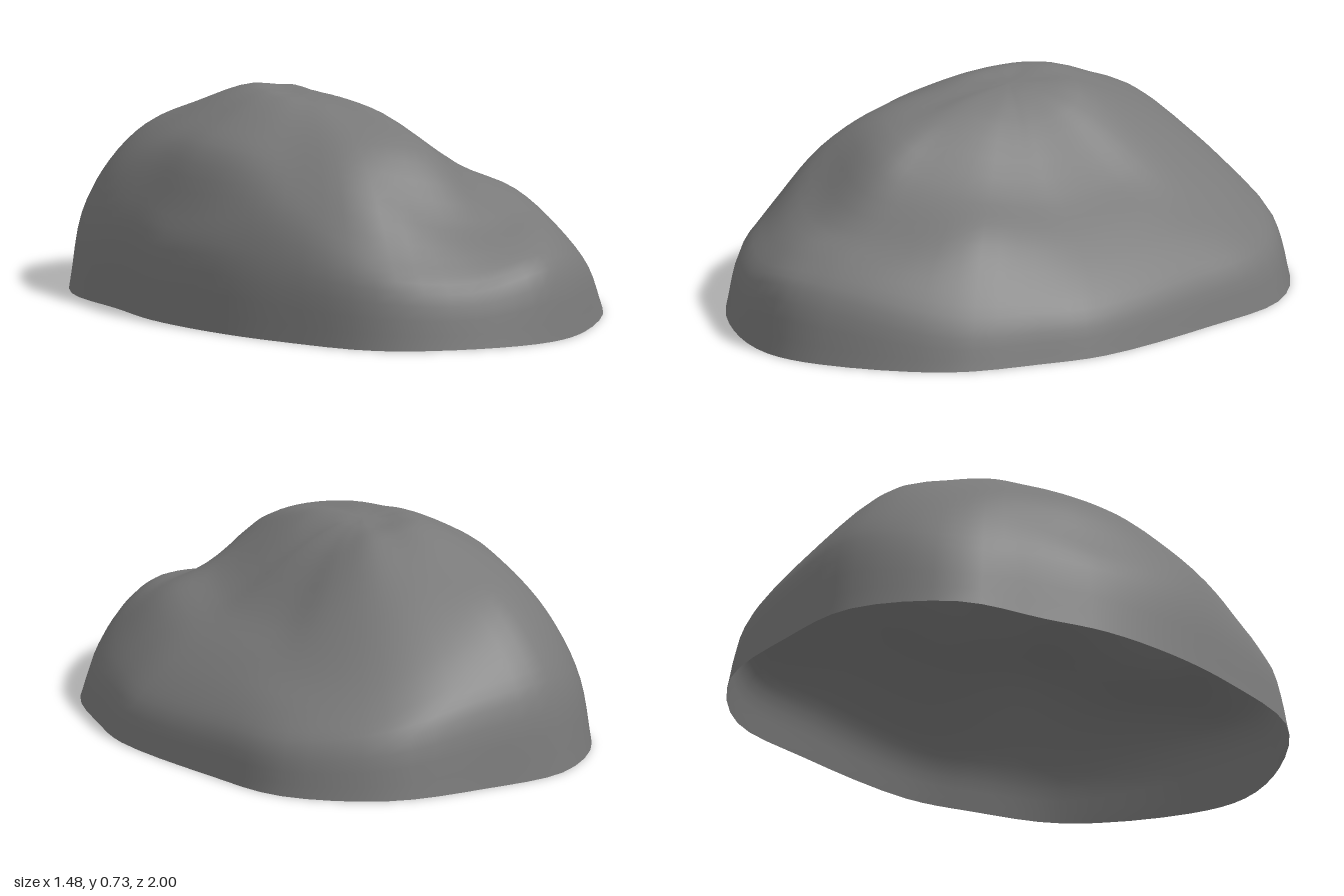
import * as THREE from 'three';

// Radial fractions from the crown (0) to the rim (1)
const FRACTIONS = [0.25, 0.5, 0.7, 0.85, 0.95, 1];
const CROWN = new THREE.Vector3(-0.1, 0.72, -0.1);

// One spoke per row: rim x, rim z, then heights at the fractions before the rim
const SPOKES = [
  [0.735, 0.05, 0.63, 0.45, 0.34, 0.235, 0.135],
  [0.70, 0.28, 0.63, 0.46, 0.365, 0.25, 0.14],
  [0.605, 0.60, 0.65, 0.49, 0.41, 0.28, 0.15],
  [0.30, 0.91, 0.68, 0.54, 0.385, 0.33, 0.23],
  [0.10, 0.995, 0.69, 0.59, 0.38, 0.315, 0.24],
  [-0.17, 0.955, 0.69, 0.62, 0.41, 0.29, 0.19],
  [-0.47, 0.78, 0.70, 0.635, 0.50, 0.33, 0.21],
  [-0.635, 0.44, 0.71, 0.64, 0.54, 0.42, 0.24],
  [-0.715, 0.16, 0.72, 0.65, 0.565, 0.41, 0.26],
  [-0.745, -0.13, 0.725, 0.655, 0.565, 0.39, 0.25],
  [-0.715, -0.36, 0.73, 0.655, 0.565, 0.41, 0.26],
  [-0.67, -0.68, 0.73, 0.645, 0.54, 0.40, 0.23],
  [-0.42, -0.95, 0.73, 0.645, 0.56, 0.43, 0.28],
  [-0.10, -1.00, 0.715, 0.62, 0.51, 0.39, 0.26],
  [0.26, -0.98, 0.70, 0.56, 0.42, 0.30, 0.20],
  [0.55, -0.76, 0.66, 0.49, 0.345, 0.25, 0.16],
  [0.655, -0.42, 0.64, 0.46, 0.35, 0.25, 0.15],
];

const RINGS = 28, SEGMENTS = 68;

function buildShell() {
  // Smooth each spoke from crown to rim, with an extra point that rounds the crown
  const spokes = SPOKES.map(([x, z, ...heights]) => {
    const point = (f, y) => new THREE.Vector3(
      THREE.MathUtils.lerp(CROWN.x, x, f), y, THREE.MathUtils.lerp(CROWN.z, z, f));
    return new THREE.CatmullRomCurve3([
      CROWN,
      point(0.1, THREE.MathUtils.lerp(CROWN.y, heights[0], 0.18)),
      ...FRACTIONS.map((f, i) => point(f, heights[i] ?? 0.008)),
    ]);
  });

  // Join the spokes with smooth closed rings
  const positions = [...CROWN.toArray()];
  for (let i = 1; i <= RINGS; i++) {
    const ring = new THREE.CatmullRomCurve3(spokes.map((s) => s.getPoint(i / RINGS)), true);
    for (let j = 0; j < SEGMENTS; j++) positions.push(...ring.getPoint(j / SEGMENTS).toArray());
  }

  // Fan at the crown, quads below it, open underside
  const index = [];
  const at = (i, j) => 1 + (i - 1) * SEGMENTS + (j % SEGMENTS);
  for (let j = 0; j < SEGMENTS; j++) {
    index.push(0, at(1, j + 1), at(1, j));
    for (let i = 1; i < RINGS; i++) {
      const a = at(i, j), b = at(i + 1, j), c = at(i + 1, j + 1), d = at(i, j + 1);
      index.push(a, c, b, a, d, c);
    }
  }

  const geometry = new THREE.BufferGeometry();
  geometry.setAttribute('position', new THREE.Float32BufferAttribute(positions, 3));
  geometry.setIndex(index);
  geometry.computeVertexNormals();
  return geometry;
}

export function createModel() {
  const group = new THREE.Group();
  group.name = 'rock';
  const material = new THREE.MeshStandardMaterial({ color: 0x7a7a7a, side: THREE.DoubleSide });
  const shell = new THREE.Mesh(buildShell(), material);
  shell.name = 'boulderShell';
  group.add(shell);
  return group;
}
